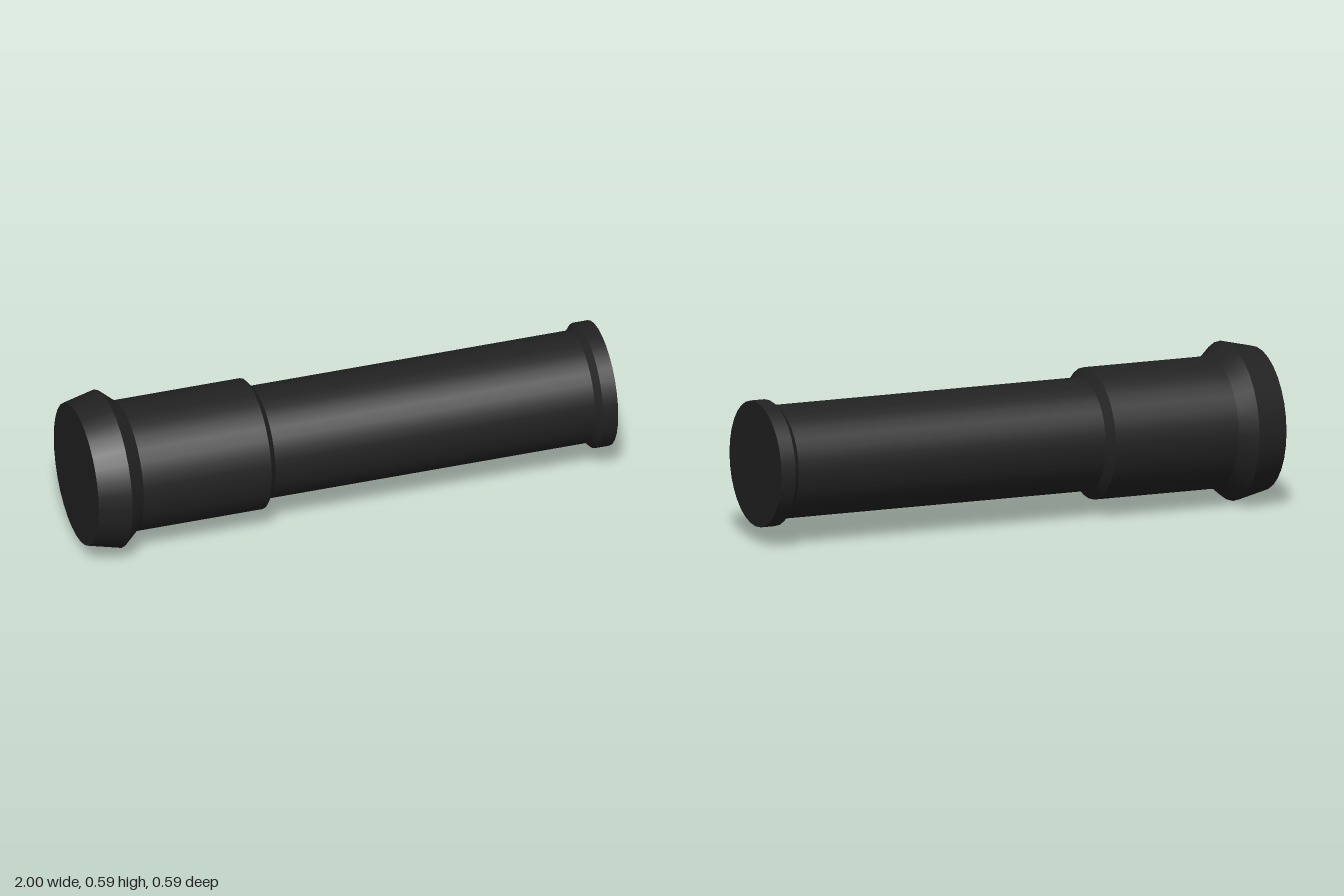
import * as THREE from 'three';

const SIDES = 32;
const AXIS_Y = 0.293;

export function createModel() {
  const model = new THREE.Group();
  const material = new THREE.MeshStandardMaterial({ color: 0x222222 });

  // One straight or tapered section along x, from radius r0 at x0 to r1 at x1
  function section(group, name, x0, r0, x1, r1) {
    const geometry = new THREE.CylinderGeometry(r1, r0, x1 - x0, SIDES, 1, true);
    geometry.rotateZ(-Math.PI / 2);
    const mesh = new THREE.Mesh(geometry, material);
    mesh.name = name;
    mesh.position.x = (x0 + x1) / 2;
    group.add(mesh);
  }

  // Flat disc closing an end; side is +1 or -1 along x
  function endCap(group, name, x, r, side) {
    const mesh = new THREE.Mesh(new THREE.CircleGeometry(r, SIDES), material);
    mesh.name = name;
    mesh.rotation.y = side * Math.PI / 2;
    mesh.position.x = x;
    group.add(mesh);
  }

  function part(name) {
    const group = new THREE.Group();
    group.name = name;
    group.position.y = AXIS_Y;
    model.add(group);
    return group;
  }

  // Flared head with its bevelled shoulder
  const head = part('flaredHead');
  endCap(head, 'headCap', -1, 0.265, -1);
  section(head, 'headFlare', -1, 0.265, -0.88, 0.293);
  section(head, 'headShoulder', -0.88, 0.293, -0.82, 0.242);

  // Thick sleeve stepping down to the tube
  const sleeve = part('sleeve');
  section(sleeve, 'sleeveBody', -0.82, 0.242, -0.33, 0.242);
  section(sleeve, 'sleeveBevel', -0.33, 0.242, -0.305, 0.208);

  // Long slim tube
  const tube = part('tube');
  section(tube, 'tubeBody', -0.305, 0.208, 0.92, 0.208);

  // End collar
  const collar = part('endCollar');
  section(collar, 'collarBevel', 0.92, 0.208, 0.943, 0.232);
  section(collar, 'collarRim', 0.943, 0.232, 1, 0.232);
  endCap(collar, 'collarCap', 1, 0.232, 1);

  return model;
}
